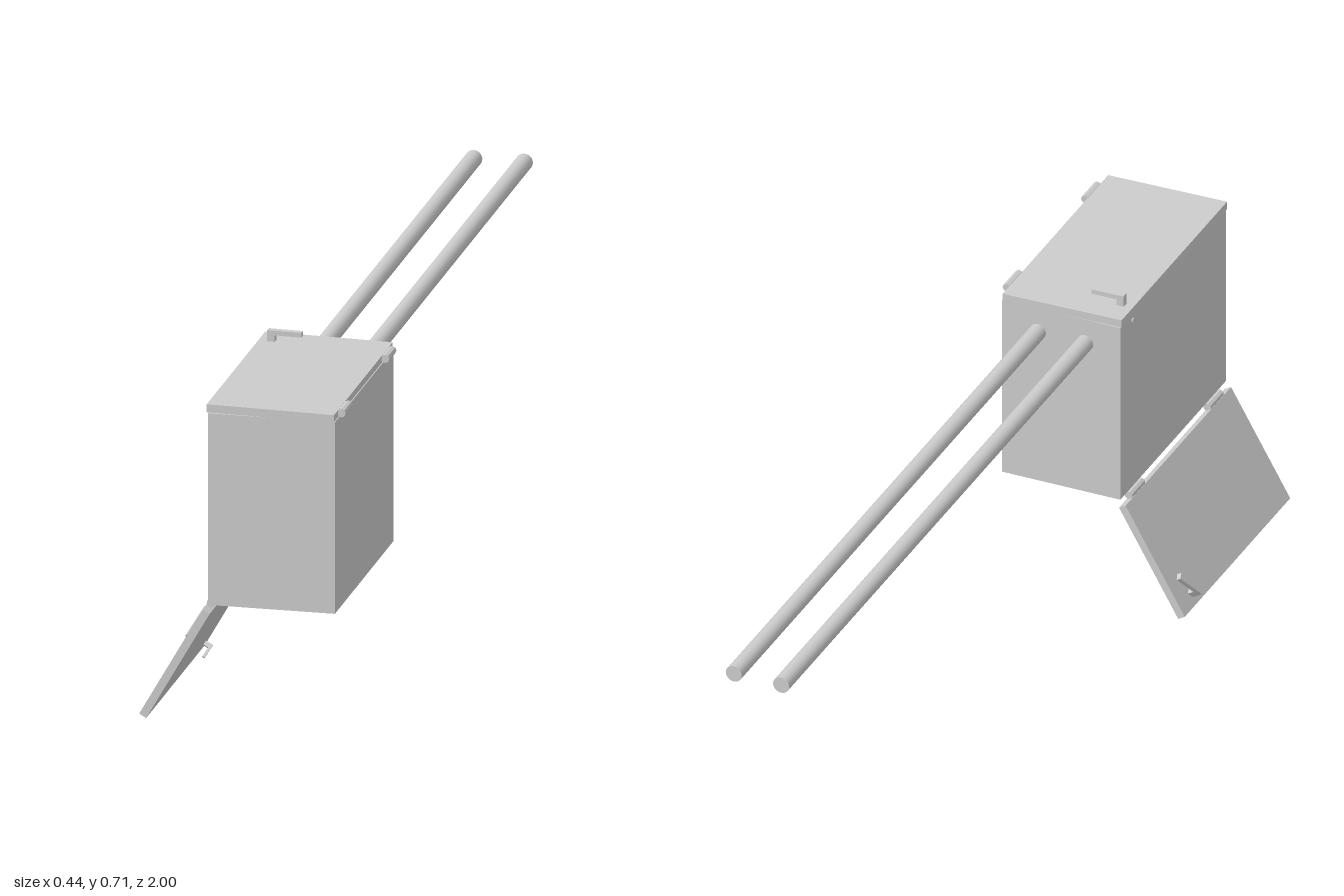
import * as THREE from 'three';

const grey = new THREE.MeshStandardMaterial({ color: 0xcccccc });
const flat = new THREE.MeshStandardMaterial({ color: 0xcccccc, flatShading: true });

function add(parent, name, geometry, x = 0, y = 0, z = 0, material = grey) {
  const mesh = new THREE.Mesh(geometry, material);
  mesh.name = name;
  mesh.position.set(x, y, z);
  parent.add(mesh);
  return mesh;
}

// Box given by its limits on each axis
function block(parent, name, x0, x1, y0, y1, z0, z1) {
  return add(parent, name, new THREE.BoxGeometry(x1 - x0, y1 - y0, z1 - z0),
    (x0 + x1) / 2, (y0 + y1) / 2, (z0 + z1) / 2);
}

const BACK = 0.485, FRONT = 1.0, LEFT = 0.205, RIGHT = -0.061, BOTTOM = 0.264, TOP = 0.673;

// Hinged panel: hinge line at the origin, panel reaching along -x, outside facing +y
function hingedPanel(name, handleTurn) {
  const door = new THREE.Group();
  door.name = name;
  block(door, 'panel', -0.274, -0.007, -0.011, 0.006, BACK, FRONT);
  for (const z of [0.55, 0.933]) {
    add(door, 'hinge', new THREE.CylinderGeometry(0.009, 0.009, 0.062, 8).rotateX(Math.PI / 2), 0, 0, z, flat);
  }
  // Turning handle with its inner latch
  const handle = new THREE.Group();
  handle.name = 'handle';
  handle.position.set(-0.247, 0, 0.543);
  handle.rotation.y = handleTurn;
  block(handle, 'handlePost', -0.008, 0.008, 0, 0.022, -0.007, 0.007);
  block(handle, 'handleGrip', -0.008, 0.064, 0.02, 0.03, -0.007, 0.007);
  block(handle, 'latchShaft', -0.005, 0.005, -0.028, 0, -0.004, 0.004);
  block(handle, 'latchBar', -0.027, 0.005, -0.028, -0.022, -0.004, 0.004);
  door.add(handle);
  return door;
}

export function createModel() {
  const model = new THREE.Group();
  model.name = 'railMountedBox';

  // Casing: four walls around a tall opening
  const rect = (Path, m) => {
    const p = new Path();
    p.moveTo(RIGHT + m, -FRONT + m);
    p.lineTo(LEFT - m, -FRONT + m);
    p.lineTo(LEFT - m, -BACK - m);
    p.lineTo(RIGHT + m, -BACK - m);
    p.closePath();
    return p;
  };
  const outline = rect(THREE.Shape, 0);
  outline.holes.push(rect(THREE.Path, 0.012));
  add(model, 'casing', new THREE.ExtrudeGeometry(outline, { depth: TOP - BOTTOM, bevelEnabled: false })
    .rotateX(-Math.PI / 2), 0, BOTTOM, 0);
  const ceiling = 0.365;
  block(model, 'divider', RIGHT + 0.01, LEFT - 0.01, ceiling, ceiling + 0.012, BACK + 0.01, FRONT - 0.01);

  // Circuit unit under the divider
  const unit = new THREE.Group();
  unit.name = 'circuitUnit';
  unit.position.set(0.065, ceiling, 0.81);
  block(unit, 'basePlate', -0.05, 0.05, -0.006, 0, -0.12, 0.12);
  for (const side of [-1, 1]) {
    block(unit, 'terminalStrip', -0.046, 0.046, -0.014, -0.005, side * 0.1 - 0.012, side * 0.1 + 0.012);
    for (let i = 0; i < 6; i++) {
      const x = -0.0375 + i * 0.015;
      block(unit, 'terminal', x - 0.004, x + 0.004, -0.019, -0.013, side * 0.1 - 0.006, side * 0.1 + 0.006);
    }
  }
  for (let i = 0; i < 5; i++) {
    const x = -0.032 + i * 0.016;
    block(unit, 'connector', x - 0.005, x + 0.005, -0.014, -0.005, -0.07, 0.07);
  }
  model.add(unit);

  // Closed lid on top, open door hanging below
  const lid = hingedPanel('lid', 0);
  lid.position.set(0.21, 0.682, 0);
  lid.rotation.z = -0.015;
  const door = hingedPanel('bottomDoor', 0.6);
  door.position.set(-0.064, 0.256, 0);
  door.rotation.z = 1.05;
  model.add(lid, door);

  // Twin rods running out of the back
  for (const x of [0.018, 0.124]) {
    add(model, 'rod', new THREE.CylinderGeometry(0.018, 0.018, 1.49, 24).rotateX(Math.PI / 2), x, 0.618, -0.255);
  }
  return model;
}
